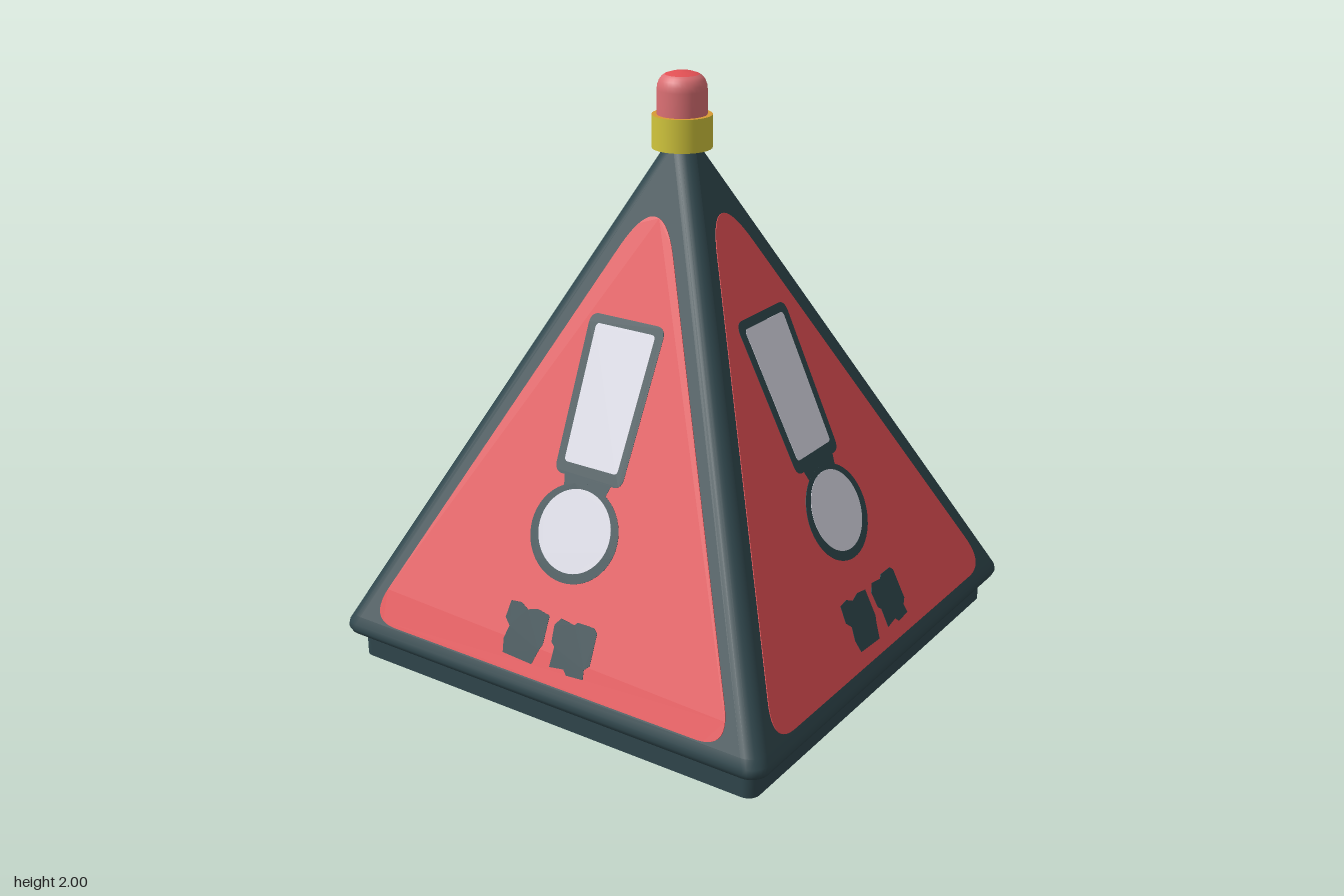
import * as THREE from 'three';

const mat = (name, color, side = THREE.FrontSide) => {
  const m = new THREE.MeshStandardMaterial({ color, side });
  m.name = name;
  return m;
};

// Sloped wall: half width of the pyramid at height y
const BASE = 0.91, SLOPE = 0.487;

// Surface through rounded-square loops; each row is [half width, y]
function roundedSquareLoft(rows, radius) {
  const pos = [], idx = [], seg = 6, n = 4 * (seg + 1);
  for (const [half, y] of rows) {
    const r = Math.min(radius, half), c = half - r;
    for (let q = 0; q < 4; q++) {
      const mid = Math.PI / 4 + q * Math.PI / 2;
      for (let s = 0; s <= seg; s++) {
        const a = (q + s / seg) * Math.PI / 2;
        pos.push(Math.sign(Math.cos(mid)) * c + Math.cos(a) * r, y,
          Math.sign(Math.sin(mid)) * c + Math.sin(a) * r);
      }
    }
  }
  for (let i = 0; i < rows.length - 1; i++) {
    for (let j = 0; j < n; j++) {
      const a = i * n + j, b = i * n + (j + 1) % n;
      idx.push(a, a + n, b, b, a + n, b + n);
    }
  }
  const g = new THREE.BufferGeometry();
  g.setAttribute('position', new THREE.Float32BufferAttribute(pos, 3));
  g.setIndex(idx);
  g.computeVertexNormals();
  return g;
}

const polygon = (pts) => new THREE.Shape(pts.map(([x, y]) => new THREE.Vector2(x, y)));

const ellipse = (y, rx, ry) => new THREE.Shape().absellipse(0, y, rx, ry, 0, Math.PI * 2);

// Upright trapezoid with rounded corners
function roundedQuad(topHalf, bottomHalf, y0, y1, r) {
  const s = new THREE.Shape();
  s.moveTo(-bottomHalf + r, y0);
  s.lineTo(bottomHalf - r, y0);
  s.quadraticCurveTo(bottomHalf, y0, bottomHalf, y0 + r);
  s.lineTo(topHalf, y1 - r);
  s.quadraticCurveTo(topHalf, y1, topHalf - r, y1);
  s.lineTo(-topHalf + r, y1);
  s.quadraticCurveTo(-topHalf, y1, -topHalf, y1 - r);
  s.lineTo(-bottomHalf, y0 + r);
  s.quadraticCurveTo(-bottomHalf, y0, -bottomHalf + r, y0);
  return s;
}

function panelShape() {
  const s = new THREE.Shape();
  s.moveTo(-0.61, 0.165);
  s.lineTo(0.61, 0.165);
  s.quadraticCurveTo(0.738, 0.165, 0.68, 0.28);
  s.lineTo(0.108, 1.44);
  s.quadraticCurveTo(0, 1.66, -0.108, 1.44);
  s.lineTo(-0.68, 0.28);
  s.quadraticCurveTo(-0.738, 0.165, -0.61, 0.165);
  return s;
}

// Thin plate straddling the front wall, so it shows outside and inside
function wallPlate(shapes, depth) {
  const g = new THREE.ExtrudeGeometry(shapes, { depth, bevelEnabled: false, curveSegments: 24 });
  g.translate(0, 0, -depth / 2);
  const m = new THREE.Matrix4().makeBasis(
    new THREE.Vector3(1, 0, 0),
    new THREE.Vector3(0, 1, -SLOPE),
    new THREE.Vector3(0, SLOPE, 1).normalize());
  m.setPosition(0, 0, BASE);
  return g.applyMatrix4(m);
}

export function createModel() {
  const model = new THREE.Group();
  model.name = 'warningPyramid';
  const dark = mat('dark slate', 0x30474d, THREE.DoubleSide);
  const red = mat('signal red', 0xe25054);
  const white = mat('pale grey', 0xd8d8e2);
  const yellow = mat('yellow', 0xd2c63c);
  const orange = mat('amber', 0xd89a34);
  const pink = mat('pink', 0xdc7074);

  const add = (parent, name, geometry, material) => {
    const mesh = new THREE.Mesh(geometry, material);
    mesh.name = name;
    parent.add(mesh);
    return mesh;
  };

  // Hollow body, open underneath
  add(model, 'baseSkirt', roundedSquareLoft([[0.8, 0], [0.8, 0.09]], 0.04), dark);
  add(model, 'pyramidShell', roundedSquareLoft([
    [0.79, 0.088], [0.825, 0.088], [0.841, 0.098], [0.848, 0.114], [0.845, 0.133],
    [BASE - SLOPE * 0.16, 0.16], [BASE - SLOPE * 1.76, 1.76],
  ], 0.058), dark);

  // Painted panel, repeated on the four walls
  const neck = polygon([[-0.08, 0.72], [0.08, 0.72], [0.1, 0.78], [-0.1, 0.78]]);
  const leftBlotch = polygon([
    [-0.155, 0.21], [-0.035, 0.205], [-0.02, 0.25], [-0.01, 0.27], [-0.012, 0.355],
    [-0.06, 0.362], [-0.1, 0.352], [-0.13, 0.366], [-0.172, 0.362], [-0.178, 0.31],
    [-0.155, 0.29], [-0.165, 0.25],
  ]);
  const rightBlotch = polygon([
    [0.035, 0.215], [0.09, 0.222], [0.105, 0.208], [0.17, 0.212], [0.165, 0.24],
    [0.183, 0.255], [0.18, 0.35], [0.165, 0.362], [0.1, 0.362], [0.09, 0.352],
    [0.035, 0.358], [0.015, 0.335], [0.02, 0.285], [0.035, 0.275],
  ]);
  const layers = [
    ['redPanel', wallPlate(panelShape(), 0.005), red],
    ['barOutline', wallPlate(roundedQuad(0.148, 0.135, 0.76, 1.24, 0.035), 0.0074), dark],
    ['dotOutline', wallPlate(ellipse(0.602, 0.171, 0.146), 0.0074), dark],
    ['outlineNeck', wallPlate(neck, 0.007), dark],
    ['blotches', wallPlate([leftBlotch, rightBlotch], 0.0074), dark],
    ['bar', wallPlate(roundedQuad(0.117, 0.106, 0.797, 1.212, 0.015), 0.0098), white],
    ['dot', wallPlate(ellipse(0.608, 0.14, 0.123), 0.0098), white],
  ];
  for (let i = 0; i < 4; i++) {
    const wall = new THREE.Group();
    wall.name = ['front', 'left', 'back', 'right'][i] + 'Wall';
    wall.rotation.y = i * Math.PI / 2;
    for (const [name, geometry, material] of layers) add(wall, name, geometry, material);
    model.add(wall);
  }

  // Collar and rounded lamp at the tip
  add(model, 'collar', new THREE.CylinderGeometry(0.1, 0.1, 0.11, 32), [yellow, orange, yellow])
    .position.y = 1.805;
  const lathe = (pts) => new THREE.LatheGeometry(pts.map(([x, y]) => new THREE.Vector2(x, y)), 32);
  add(model, 'lamp', lathe([
    [0.083, 1.855], [0.083, 1.94], [0.081, 1.957], [0.075, 1.973], [0.067, 1.983], [0.057, 1.99],
  ]), pink);
  add(model, 'lampTop', lathe([[0.057, 1.99], [0.035, 1.997], [0, 2]]), red);
  return model;
}
